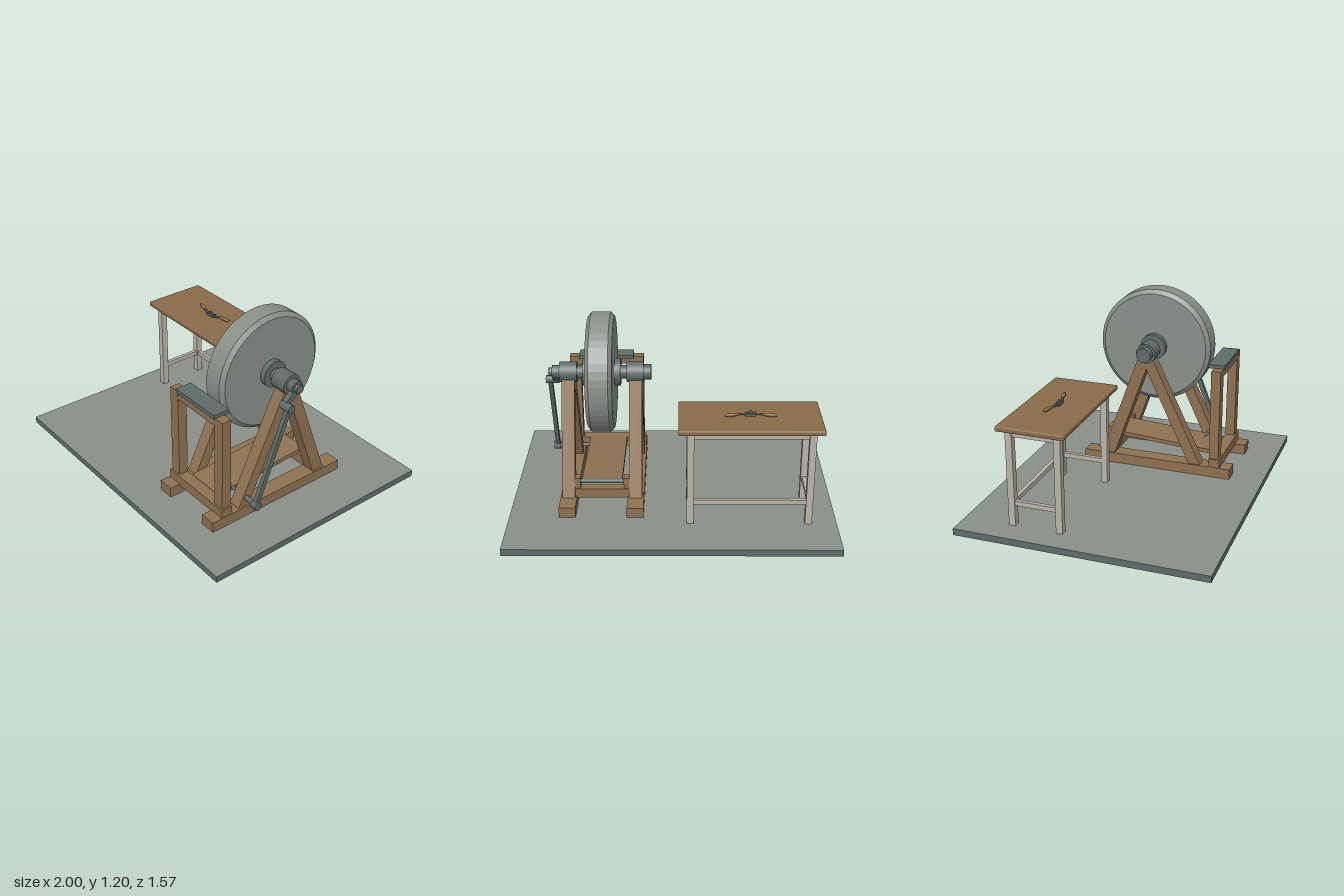
import * as THREE from 'three';
import { RoundedBoxGeometry } from 'three/addons/geometries/RoundedBoxGeometry.js';

const mat = (name, color) => {
  const m = new THREE.MeshStandardMaterial({ color });
  m.name = name;
  return m;
};

export function createModel() {
  const stone = mat('stone grey', 0x8a8f8a);
  const steel = mat('dark steel', 0x5f6c6a);
  const wood = mat('frame wood', 0x8e7151);
  const tableWood = mat('table wood', 0x8a6b49);
  const cream = mat('cream paint', 0xbab5a8);

  const model = new THREE.Group();
  const group = (name) => {
    const g = new THREE.Group();
    g.name = name;
    model.add(g);
    return g;
  };
  const add = (parent, name, geo, material) => {
    const m = new THREE.Mesh(geo, material);
    m.name = name;
    parent.add(m);
    return m;
  };
  // box given by its limits on each axis
  const box = (parent, name, material, [x0, x1], [y0, y1], [z0, z1]) => {
    const m = add(parent, name, new THREE.BoxGeometry(x1 - x0, y1 - y0, z1 - z0), material);
    m.position.set((x0 + x1) / 2, (y0 + y1) / 2, (z0 + z1) / 2);
    return m;
  };
  // cylinder lying along x
  const axle = (parent, name, material, x0, x1, r, y, z, sides = 24) => {
    const geo = new THREE.CylinderGeometry(r, r, x1 - x0, sides).rotateZ(-Math.PI / 2);
    const m = add(parent, name, geo, material);
    m.position.set((x0 + x1) / 2, y, z);
    return m;
  };
  // straight bar in the side plane between points [z, y]
  const bar = (parent, name, material, [x0, x1], [za, ya], [zb, yb], thick) => {
    const geo = new THREE.BoxGeometry(x1 - x0, thick, Math.hypot(zb - za, yb - ya));
    const m = add(parent, name, geo, material);
    m.position.set((x0 + x1) / 2, (ya + yb) / 2, (za + zb) / 2);
    m.rotation.x = Math.atan2(ya - yb, zb - za);
    return m;
  };

  // floor slab: stone top, dark sides and underside
  const floor = add(model, 'floorSlab', new THREE.BoxGeometry(2, 0.042, 1.57),
    [steel, steel, stone, steel, steel, steel]);
  floor.position.y = 0.021;

  const cx = 0.435, cy = 0.833; // wheel centre

  // bevelled grinding wheel with flat facets
  const wheel = group('grindingWheel');
  const R = 0.371, r = 0.345, h = 0.08;
  const profile = [[0, -h], [r, -h], [R, -h + 0.022], [R, h - 0.022], [r, h], [0, h]]
    .map(([a, b]) => new THREE.Vector2(a, b));
  const wheelGeo = new THREE.LatheGeometry(profile, 48).toNonIndexed();
  wheelGeo.computeVertexNormals();
  wheelGeo.rotateZ(-Math.PI / 2);
  add(wheel, 'stoneWheel', wheelGeo, stone).position.set(cx, cy, 0);

  // shaft, hub flanges, bearings and end collars
  const shaft = group('shaftAssembly');
  axle(shaft, 'shaft', steel, 0.15, 0.765, 0.027, cy, 0);
  axle(shaft, 'shaftSleeve', steel, 0.2, 0.67, 0.042, cy, 0);
  axle(shaft, 'hubFlange', steel, 0.318, 0.552, 0.084, cy, 0, 32);
  axle(shaft, 'rightCollar', steel, 0.13, 0.18, 0.047, cy, 0);
  axle(shaft, 'leftCollar', steel, 0.69, 0.742, 0.042, cy, 0);
  for (const [name, x0, x1] of [['rightBearing', 0.176, 0.281], ['leftBearing', 0.588, 0.696]])
    axle(shaft, name, steel, x0, x1, 0.064, cy, 0);

  // wooden frame: skids, A-frames, front posts
  const frame = group('woodenFrame');
  const outline = [[0.371, 0.108], [0.295, 0.108], [0, 0.726], [-0.22, 0.108],
    [-0.304, 0.108], [-0.05, 0.81], [0.036, 0.81]];
  for (const s of [-1, 1]) {
    const x = cx + s * 0.208;
    const span = (half) => [x - half, x + half];
    box(frame, 'skid', wood, span(0.051), [0.042, 0.109], [-0.426, 0.573]);
    const legs = new THREE.ExtrudeGeometry(
      new THREE.Shape(outline.map(([z, y]) => new THREE.Vector2(z, y))),
      { depth: 0.08, bevelEnabled: false }).rotateY(-Math.PI / 2);
    add(frame, 'aFrame', legs, wood).position.x = x + 0.04;
    box(frame, 'frontPost', wood, span(0.036), [0.15, 0.762], [0.43, 0.492]);
    // bracket holding the treadle pivot
    const bx = cx + s * 0.152;
    box(frame, 'pivotBracket', wood, [bx - 0.018, bx + 0.018], [0.127, 0.23], [-0.272, -0.22]);
  }
  box(frame, 'frontSill', wood, [0.18, 0.692], [0.1, 0.165], [0.43, 0.503]);
  box(frame, 'rearSill', wood, [0.19, 0.68], [0.1, 0.16], [-0.28, -0.222]);
  box(frame, 'topRail', wood, [0.191, 0.679], [0.71, 0.762], [0.431, 0.491]);
  box(frame, 'toolRest', steel, [0.256, 0.614], [0.758, 0.783], [0.392, 0.5]);

  // treadle board with its pivot rod
  const treadle = group('treadle');
  bar(treadle, 'treadleBoard', wood, [0.31, 0.56], [0.43, 0.155], [-0.245, 0.203], 0.026);
  axle(treadle, 'pivotRod', steel, 0.27, 0.6, 0.014, 0.2, -0.245, 12);
  axle(treadle, 'treadlePin', steel, 0.5, 0.79, 0.012, 0.168, 0.315, 12);

  // crank and connecting rod on the left side
  const crank = group('crank');
  const pin = [0.086, 0.747], foot = [0.315, 0.166];
  bar(crank, 'crankArm', steel, [0.715, 0.75], [0, cy], pin, 0.034);
  axle(crank, 'crankEnd', steel, 0.713, 0.752, 0.026, pin[1], pin[0], 16);
  axle(crank, 'crankPin', steel, 0.74, 0.795, 0.026, pin[1], pin[0], 16);
  bar(crank, 'connectingRod', steel, [0.755, 0.782], pin, foot, 0.03);
  axle(crank, 'rodFoot', steel, 0.75, 0.795, 0.027, foot[1], foot[0], 16);
  axle(crank, 'treadleCollar', steel, 0.68, 0.752, 0.016, foot[1], foot[0], 12);

  // work table
  const table = group('table');
  const top = add(table, 'tableTop', new RoundedBoxGeometry(0.855, 0.032, 0.424, 2, 0.008), tableWood);
  top.position.set(-0.465, 0.669, -0.322);
  const legX = [-0.826, -0.109], legZ = [-0.473, -0.172], t = 0.021;
  for (const x of legX)
    for (const z of legZ)
      box(table, 'tableLeg', cream, [x - t, x + t], [0.042, 0.654], [z - t, z + t]);
  for (const z of legZ)
    box(table, 'longApron', cream, legX, [0.61, 0.654], [z - 0.013, z + 0.013]);
  for (const x of legX) {
    box(table, 'sideApron', cream, [x - 0.013, x + 0.013], [0.61, 0.654], legZ);
    box(table, 'sideStretcher', cream, [x - 0.013, x + 0.013], [0.172, 0.202], legZ);
  }
  box(table, 'backStretcher', cream, legX, [0.172, 0.202], [legZ[0] - 0.013, legZ[0] + 0.013]);

  // two-handled shaving tool lying on the table
  const tool = group('shavingTool');
  const tx = -0.467;
  box(tool, 'toolBody', steel, [tx - 0.032, tx + 0.032], [0.687, 0.702], [-0.335, -0.305]);
  box(tool, 'toolBlade', steel, [tx - 0.027, tx + 0.027], [0.7, 0.708], [-0.328, -0.31]);
  axle(tool, 'bladeScrew', steel, tx - 0.006, tx + 0.006, 0.009, 0.711, -0.32, 12);
  const grip = [[0, -0.045], [0.007, -0.043], [0.012, -0.02], [0.011, 0.01], [0.006, 0.043], [0, 0.045]]
    .map(([a, b]) => new THREE.Vector2(a, b));
  for (const s of [-1, 1]) {
    const path = new THREE.CatmullRomCurve3([[0.025, 0.694, -0.315], [0.05, 0.697, -0.318], [0.078, 0.7, -0.331]]
      .map(([x, y, z]) => new THREE.Vector3(tx + s * x, y, z)));
    add(tool, 'toolArm', new THREE.TubeGeometry(path, 8, 0.006, 8), steel);
    const g = add(tool, 'toolHandle', new THREE.LatheGeometry(grip, 12), tableWood);
    g.position.set(tx + s * 0.11, 0.7, -0.34);
    g.quaternion.setFromUnitVectors(new THREE.Vector3(0, 1, 0),
      new THREE.Vector3(-s * 0.08, 0, 0.018).normalize());
  }
  return model;
}
